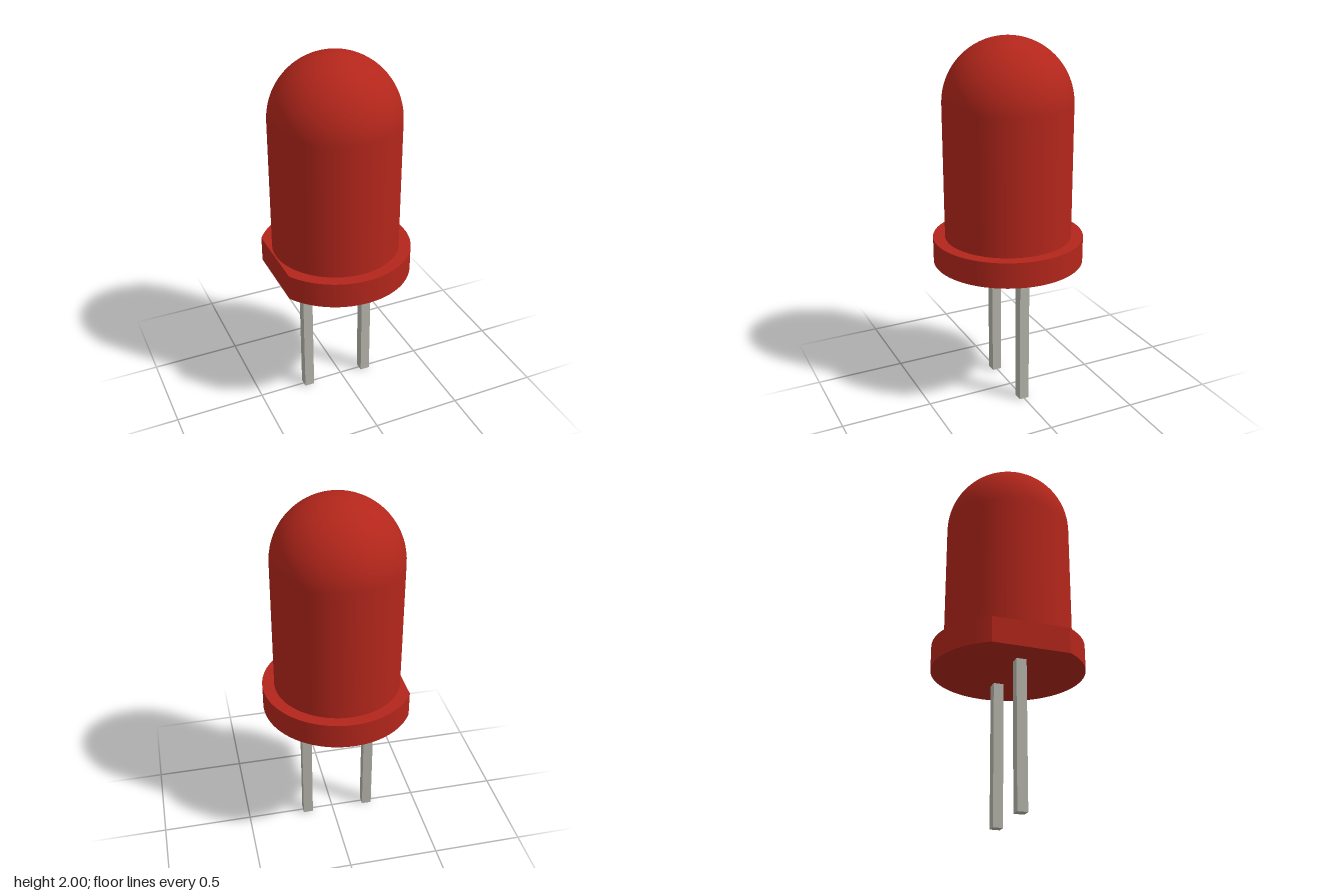
import * as THREE from 'three';
import { toCreasedNormals } from 'three/addons/utils/BufferGeometryUtils.js';

const AXIS_X = -0.03;        // axis of the round body
const RIM_BOTTOM = 0.785, RIM_TOP = 0.925, RIM_RADIUS = 0.41;
const FLAT_X = -0.353;       // flat cut on the rim, measured from the axis
const BULB_RADIUS = 0.345, DOME_Y = 2 - BULB_RADIUS;

export function createModel() {
  const group = new THREE.Group();
  const red = new THREE.MeshStandardMaterial({ color: 0xb3261b });
  const metal = new THREE.MeshStandardMaterial({ color: 0xb4b4aa });

  const add = (name, geometry, material, x, y) => {
    const mesh = new THREE.Mesh(geometry, material);
    mesh.name = name;
    mesh.position.set(x, y, 0);
    group.add(mesh);
  };

  // Bulb: straight wall running into a hemispherical dome
  const profile = [new THREE.Vector2(BULB_RADIUS, RIM_TOP - 0.02)];
  const steps = 24;
  for (let i = 0; i <= steps; i++) {
    const a = (i / steps) * Math.PI / 2;
    const r = i === steps ? 0 : BULB_RADIUS * Math.cos(a);
    profile.push(new THREE.Vector2(r, DOME_Y + BULB_RADIUS * Math.sin(a)));
  }
  add('bulb', new THREE.LatheGeometry(profile, 72), red, AXIS_X, 0);

  // Rim: disc with one flat side; closing the arc makes the flat
  const cut = Math.acos(-FLAT_X / RIM_RADIUS);
  const outline = new THREE.Shape();
  outline.absarc(0, 0, RIM_RADIUS, -(Math.PI - cut), Math.PI - cut, false);
  outline.closePath();
  const rim = new THREE.ExtrudeGeometry(outline, {
    depth: RIM_TOP - RIM_BOTTOM, bevelEnabled: false, curveSegments: 72,
  });
  rim.rotateX(-Math.PI / 2);
  add('rim', toCreasedNormals(rim, 0.4), red, AXIS_X, RIM_BOTTOM);

  // Two square wire legs
  for (const [name, x] of [['rightLeg', -0.21], ['leftLeg', 0.15]]) {
    add(name, new THREE.BoxGeometry(0.055, RIM_BOTTOM, 0.055), metal, x, RIM_BOTTOM / 2);
  }
  return group;
}
